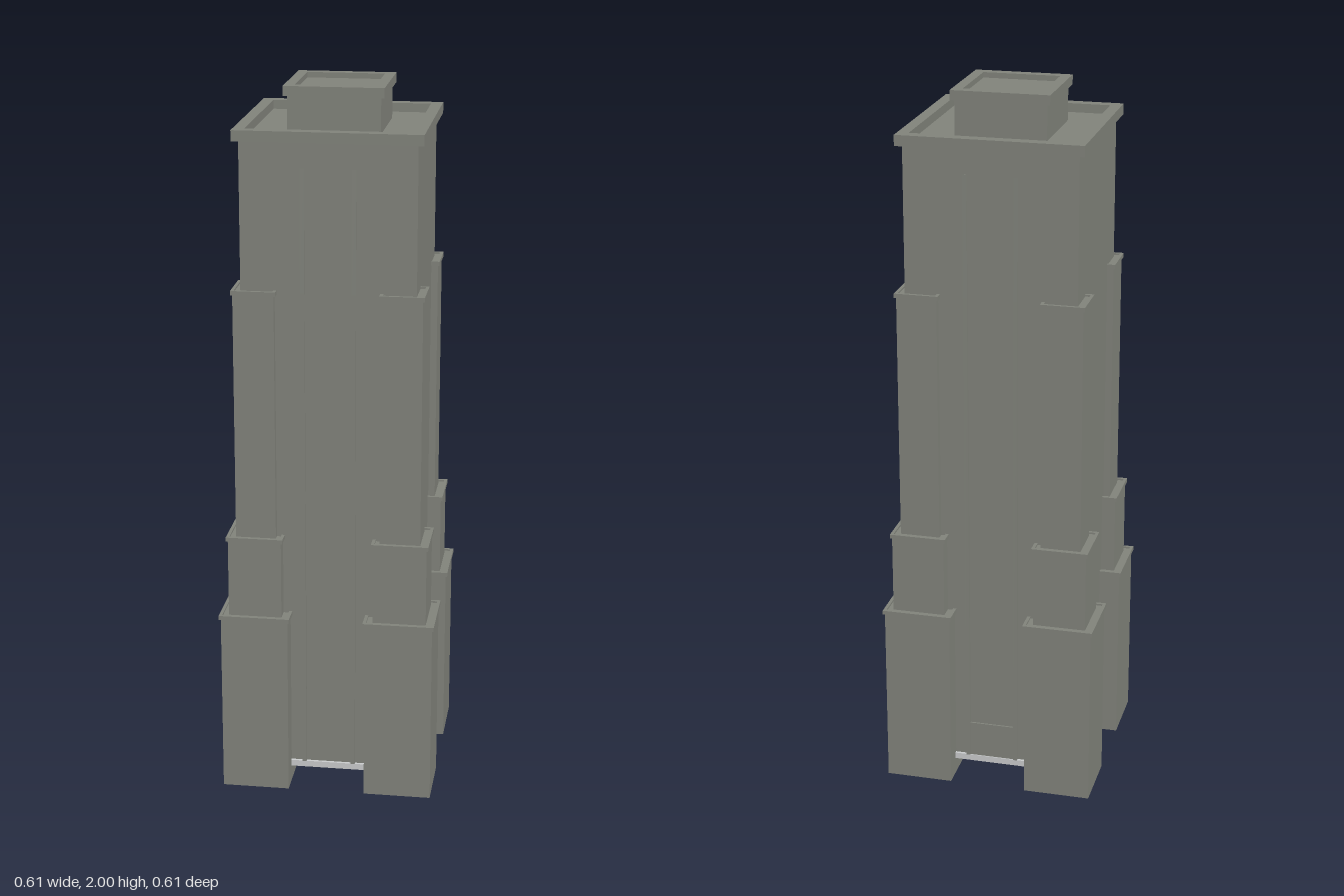
import * as THREE from 'three';

export function createModel() {
  const root = new THREE.Group();
  const stone = new THREE.MeshStandardMaterial({ color: 0x80827a });
  stone.name = 'grey stone';
  const pale = new THREE.MeshStandardMaterial({ color: 0xc8cacb });
  pale.name = 'pale stone';

  const add = (parent, name, geometry, material = stone) => {
    const mesh = new THREE.Mesh(geometry, material);
    mesh.name = name;
    parent.add(mesh);
    return mesh;
  };

  // Square block centred on (c, c), from y0 to y1
  const block = (parent, name, half, y0, y1, c = 0, material = stone) => {
    const mesh = add(parent, name, new THREE.BoxGeometry(half * 2, y1 - y0, half * 2), material);
    mesh.position.set(c, (y0 + y1) / 2, c);
    return mesh;
  };

  // Square rim, open in the middle
  const rim = (parent, name, outer, inner, y0, y1, c = 0) => {
    const square = (Kind, h) => new Kind([[-h, -h], [h, -h], [h, h], [-h, h]].map(p => new THREE.Vector2(...p)));
    const shape = square(THREE.Shape, outer);
    shape.holes.push(square(THREE.Path, inner));
    const geometry = new THREE.ExtrudeGeometry(shape, { depth: y1 - y0, bevelEnabled: false });
    geometry.rotateX(-Math.PI / 2);
    add(parent, name, geometry).position.set(c, y0, c);
  };

  // Central shaft on its pale floor slab
  block(root, 'floorSlab', 0.248, 0.048, 0.066, 0, pale);
  block(root, 'shaft', 0.24, 0.066, 1.875);
  rim(root, 'parapet', 0.257, 0.225, 1.87, 1.9);

  // Roof house with its own rim
  block(root, 'roofHouse', 0.127, 1.875, 1.985);
  rim(root, 'roofHouseRim', 0.137, 0.108, 1.973, 2);

  // Stepped corner towers: [outer edge, inner edge, bottom, top]
  const tiers = [
    [0.299, 0.109, 0, 0.53],
    [0.279, 0.129, 0.525, 0.76],
    [0.259, 0.146, 0.755, 1.465],
  ];
  for (let i = 0; i < 4; i++) {
    const tower = new THREE.Group();
    tower.name = 'cornerTower';
    tower.rotation.y = i * Math.PI / 2;
    for (const [outer, inner, y0, y1] of tiers) {
      const c = (outer + inner) / 2;
      const half = (outer - inner) / 2;
      block(tower, 'towerTier', half, y0, y1 - 0.005, c);
      rim(tower, 'towerLip', half + 0.005, half - 0.004, y1 - 0.012, y1, c);
    }
    root.add(tower);
  }

  // Slender fins on front and back that taper into the wall
  const profile = new THREE.Shape([
    [0.235, 0.066], [0.25, 0.066], [0.246, 1.46], [0.241, 1.8], [0.235, 1.8],
  ].map(p => new THREE.Vector2(...p)));
  for (const side of [0, Math.PI]) {
    const face = new THREE.Group();
    face.name = side ? 'backFins' : 'frontFins';
    face.rotation.y = side;
    for (const x of [-0.07, 0.07]) {
      const geometry = new THREE.ExtrudeGeometry(profile, { depth: 0.012, bevelEnabled: false });
      geometry.translate(0, 0, -0.006);
      geometry.rotateY(-Math.PI / 2);
      add(face, 'fin', geometry).position.x = x;
    }
    root.add(face);
  }

  // Low door panel on the back
  add(root, 'backDoorPanel', new THREE.BoxGeometry(0.128, 0.104, 0.008)).position.set(0, 0.118, -0.241);

  return root;
}
